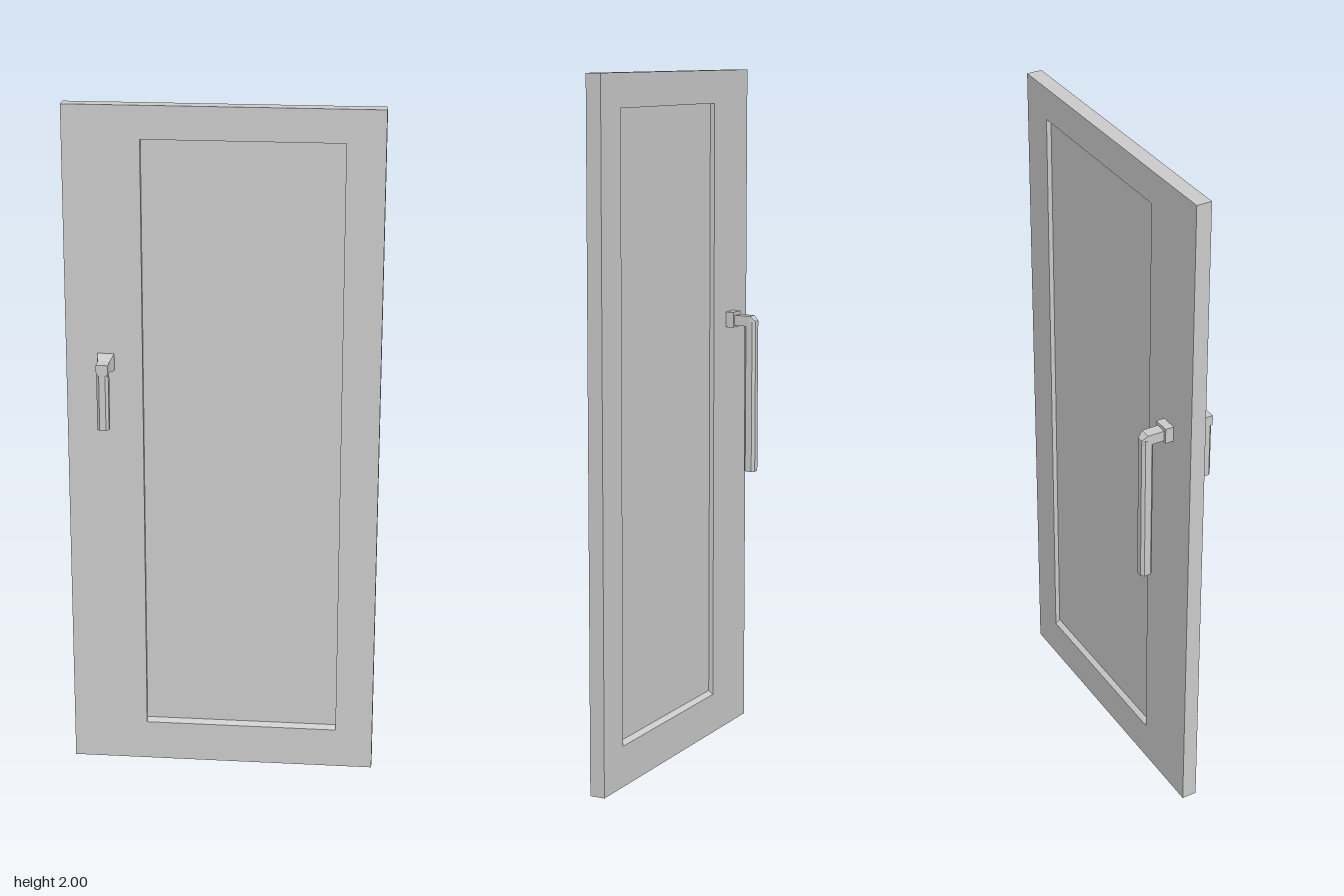
import * as THREE from 'three';

const material = new THREE.MeshStandardMaterial({ color: 0xcccccc, flatShading: true });

function add(parent, name, geometry, x = 0, y = 0, z = 0) {
  const mesh = new THREE.Mesh(geometry, material);
  mesh.name = name;
  mesh.position.set(x, y, z);
  parent.add(mesh);
  return mesh;
}

// Rectangular sections [z, halfWidth, yBottom, yTop] joined along increasing z.
function loft(sections) {
  const pos = [], index = [];
  for (const [z, w, y0, y1] of sections) pos.push(-w, y0, z, w, y0, z, w, y1, z, -w, y1, z);
  for (let i = 0; i < sections.length - 1; i++) {
    for (let j = 0; j < 4; j++) {
      const a = i * 4 + j, b = i * 4 + (j + 1) % 4;
      index.push(a, b, b + 4, a, b + 4, a + 4);
    }
  }
  const e = (sections.length - 1) * 4;
  index.push(0, 2, 1, 0, 3, 2, e, e + 1, e + 2, e, e + 2, e + 3);
  const g = new THREE.BufferGeometry();
  g.setAttribute('position', new THREE.Float32BufferAttribute(pos, 3));
  g.setIndex(index);
  const flat = g.toNonIndexed();
  flat.computeVertexNormals();
  return flat;
}

// Upright octagonal bar: a rectangle with cut corners, standing on y = 0.
function gripBar(halfX, halfZ, cut, height) {
  const s = new THREE.Shape([
    [halfX, -halfZ + cut], [halfX, halfZ - cut], [halfX - cut, halfZ], [-halfX + cut, halfZ],
    [-halfX, halfZ - cut], [-halfX, -halfZ + cut], [-halfX + cut, -halfZ], [halfX - cut, -halfZ],
  ].map(([x, y]) => new THREE.Vector2(x, y)));
  return new THREE.ExtrudeGeometry(s, { depth: height, bevelEnabled: false }).rotateX(-Math.PI / 2);
}

function rectangle(Type, x0, y0, x1, y1) {
  return new Type([[x0, y0], [x1, y0], [x1, y1], [x0, y1]].map(([x, y]) => new THREE.Vector2(x, y)));
}

export function createModel() {
  const model = new THREE.Group();
  model.name = 'door';

  // Door leaf with an off-centre panel opening
  const leaf = rectangle(THREE.Shape, -0.45, 0, 0.45, 2);
  leaf.holes.push(rectangle(THREE.Path, -0.23, 0.12, 0.34, 1.905));
  add(model, 'doorFrame', new THREE.ExtrudeGeometry(leaf, { depth: 0.045, bevelEnabled: false }), 0, 0, -0.02);

  // Recessed panel and its sloping sill
  add(model, 'recessedPanel', new THREE.BoxGeometry(0.57, 1.785, 0.017), 0.055, 1.0125, 0.0025);
  add(model, 'panelSill', loft([
    [-0.02, 0.285, 0.11, 0.12], [-0.006, 0.285, 0.11, 0.131],
    [0.011, 0.285, 0.11, 0.131], [0.025, 0.285, 0.11, 0.12],
  ]), 0.055);

  // Short front handle
  const front = new THREE.Group();
  front.name = 'frontHandle';
  front.position.x = -0.335;
  model.add(front);
  add(front, 'frontHandleArm', loft([
    [0.02, 0.024, 1.237, 1.285], [0.045, 0.023, 1.238, 1.284],
    [0.068, 0.017, 1.244, 1.275], [0.11, 0.017, 1.244, 1.275],
  ]));
  add(front, 'frontHandleGrip', gripBar(0.017, 0.018, 0.008, 0.18), 0, 1.08, 0.092);

  // Long back handle
  const back = new THREE.Group();
  back.name = 'backHandle';
  back.position.x = -0.335;
  model.add(back);
  add(back, 'backHandleBase', new THREE.BoxGeometry(0.05, 0.046, 0.03), 0, 1.262, -0.03);
  add(back, 'backHandleArm', loft([
    [-0.111, 0.01, 1.244, 1.26], [-0.095, 0.017, 1.244, 1.275], [-0.04, 0.017, 1.244, 1.275],
  ]));
  add(back, 'backHandleGrip', gripBar(0.017, 0.018, 0.008, 0.455), 0, 0.803, -0.093);

  return model;
}
